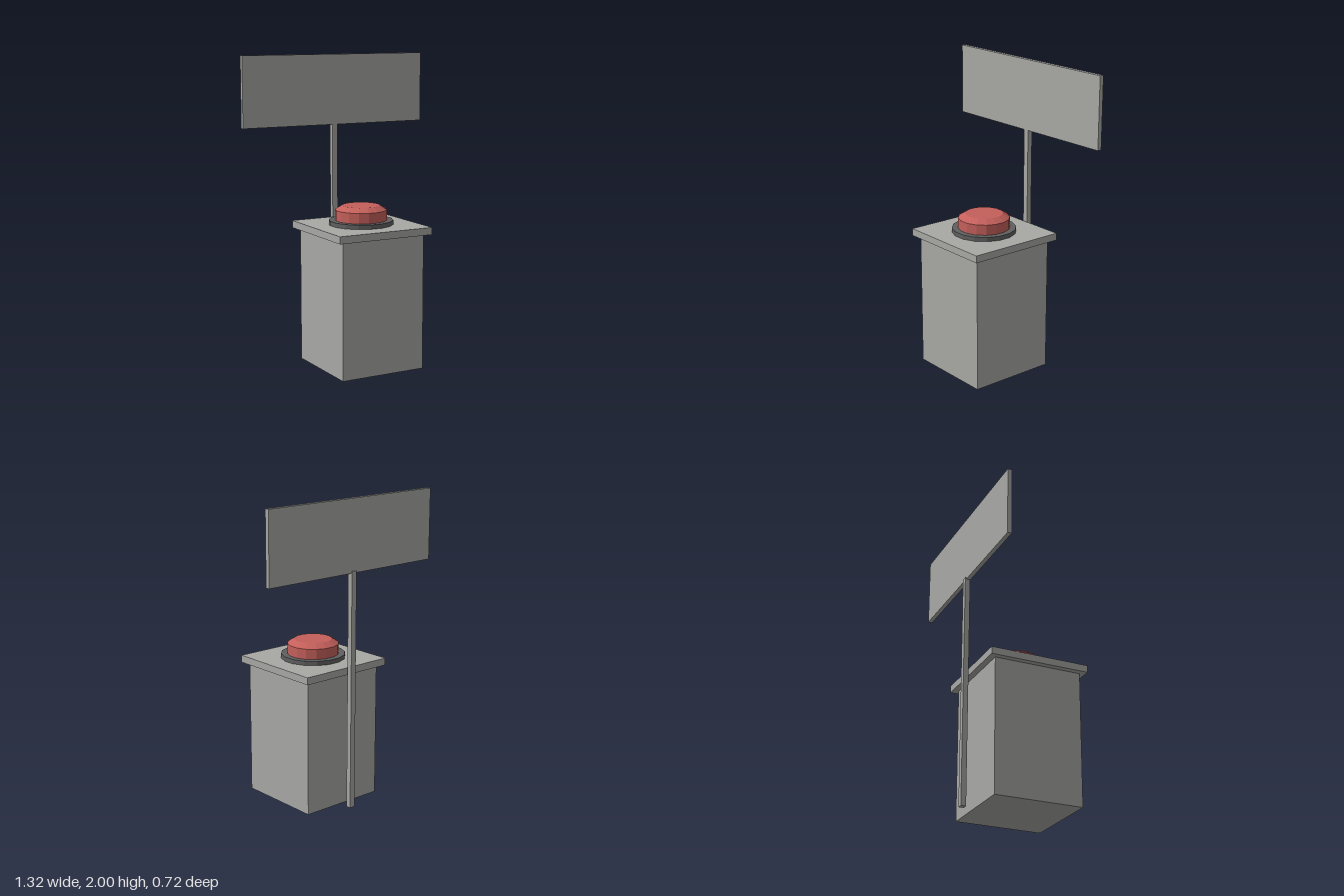
import * as THREE from 'three';

const paint = (name, color, flatShading = false) => {
  const m = new THREE.MeshStandardMaterial({ color, flatShading });
  m.name = name;
  return m;
};

export function createModel() {
  const group = new THREE.Group();
  const grey = paint('stoneGrey', 0xa8a8a5);
  const dark = paint('darkGrey', 0x606060, true);
  const red = paint('buttonRed', 0xc4605b, true);
  const cz = 0.027; // pedestal centre

  const add = (name, geometry, material, x, y, z) => {
    const mesh = new THREE.Mesh(geometry, material);
    mesh.name = name;
    mesh.position.set(x, y, z);
    group.add(mesh);
  };
  // Box given by its bottom and top heights
  const box = (name, w, y0, y1, d, z) =>
    add(name, new THREE.BoxGeometry(w, y1 - y0, d), grey, 0, (y0 + y1) / 2, z);
  // Sixteen-sided disc with flats facing the axes; radii are to the flats
  const disc = (name, rTop, rBottom, y0, y1, material) => {
    const k = 1 / Math.cos(Math.PI / 16);
    const g = new THREE.CylinderGeometry(rTop * k, rBottom * k, y1 - y0, 16);
    g.rotateY(Math.PI / 16);
    add(name, g, material, 0, (y0 + y1) / 2, cz);
  };

  // Pedestal
  box('pedestalBody', 0.582, 0, 0.88, 0.582, cz + 0.002);
  box('pedestalTop', 0.66, 0.88, 0.927, 0.66, cz);

  // Push button
  disc('buttonRing', 0.204, 0.204, 0.927, 0.955, dark);
  disc('buttonSide', 0.164, 0.164, 0.955, 1.022, red);
  disc('buttonBevel', 0.12, 0.164, 1.022, 1.05, red);

  // Sign on a pole behind the pedestal
  box('signPole', 0.038, 0, 1.553, 0.034, -0.341);
  box('signBoard', 1.32, 1.54, 2, 0.028, -0.337);
  return group;
}
